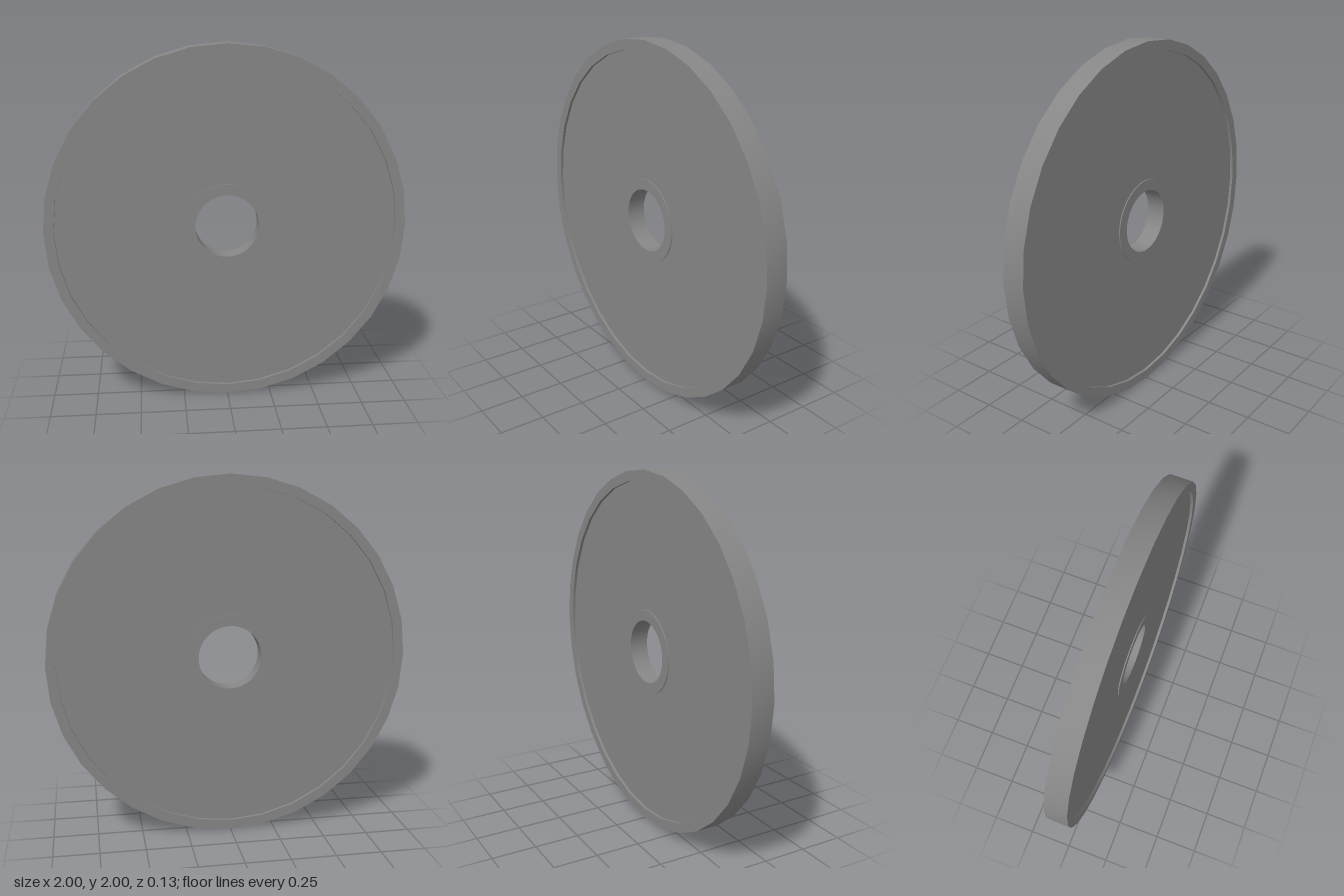
import * as THREE from 'three';
import { toCreasedNormals } from 'three/addons/utils/BufferGeometryUtils.js';

const material = new THREE.MeshStandardMaterial({ color: 0x868686 });

// Ring with a rectangular section, its axis along z
function ring(name, inner, outer, halfDepth, sides, y) {
  const profile = [
    [outer, -halfDepth], [outer, halfDepth],
    [inner, halfDepth], [inner, -halfDepth], [outer, -halfDepth],
  ].map(([r, h]) => new THREE.Vector2(r, h));
  const geometry = new THREE.LatheGeometry(profile, sides).rotateX(Math.PI / 2);
  const mesh = new THREE.Mesh(toCreasedNormals(geometry, Math.PI / 6), material);
  mesh.name = name;
  mesh.position.y = y;
  return mesh;
}

export function createModel() {
  const group = new THREE.Group();
  group.name = 'wheel';

  // Raised outer rim
  group.add(ring('rim', 0.945, 1, 0.063, 32, 1));

  // Web, slightly recessed between rim and hub
  group.add(ring('disc', 0.21, 0.945, 0.047, 32, 1));

  // Thin collar around the bore, set a touch above centre
  group.add(ring('hub', 0.176, 0.238, 0.053, 64, 1.01));

  return group;
}
